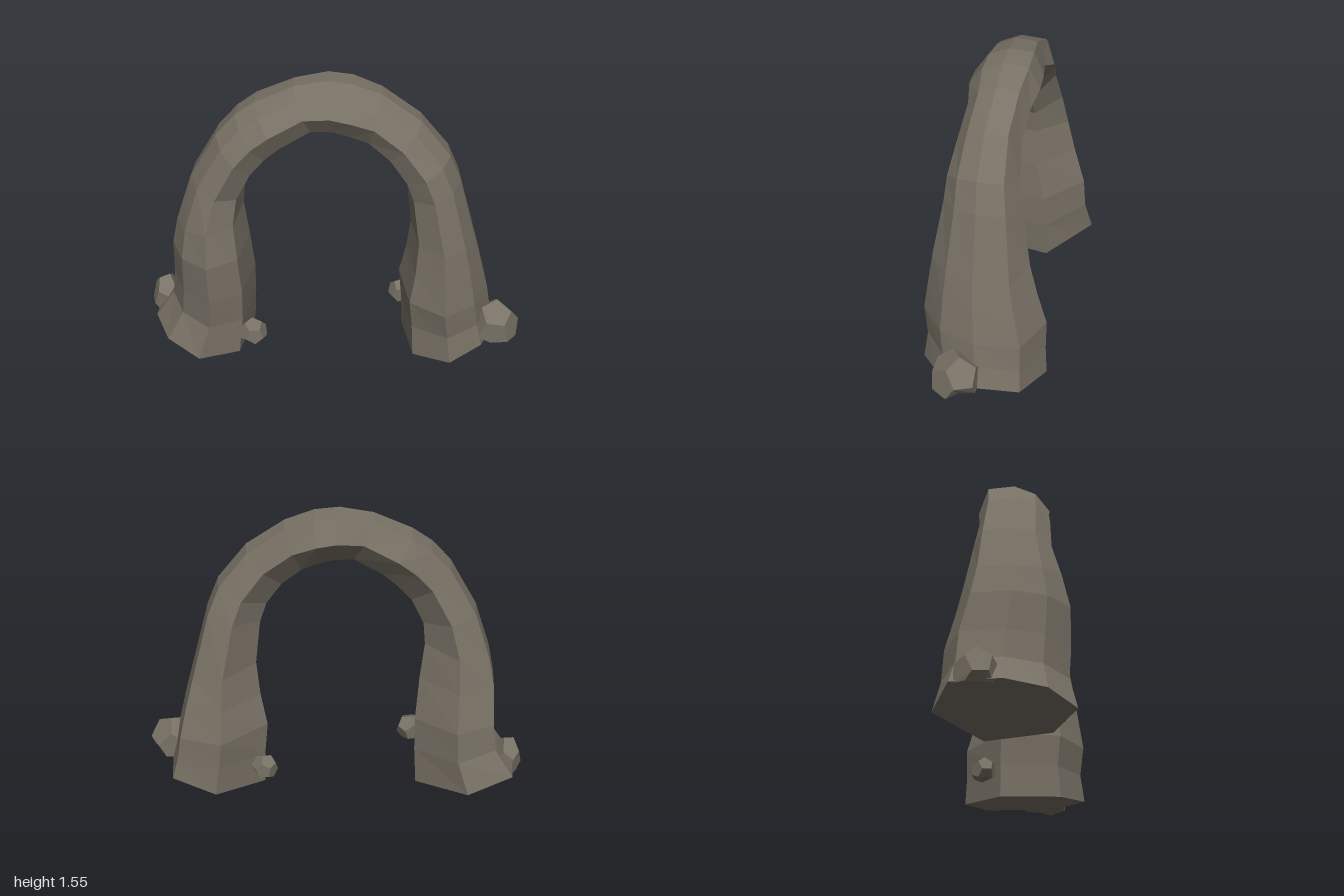
import * as THREE from 'three';

// Uneven seven-sided cross-section: [outward, front/back], each from -1 to 1
const PROFILE = [
  [1, 0.03], [0.68, 0.62], [0, 1], [-0.77, 0.63],
  [-1, -0.35], [0, -1], [0.93, -0.7],
];
const SIDES = PROFILE.length;

// Stations along the arch: outer x, y, inner x, y, front z, back z
const STATIONS = [
  [-0.97, 0.10, -0.44, 0.00, 0.34, -0.345],
  [-0.87, 0.25, -0.43, 0.20, 0.30, -0.31],
  [-0.855, 0.40, -0.43, 0.38, 0.31, -0.30],
  [-0.85, 0.60, -0.45, 0.60, 0.31, -0.24],
  [-0.82, 0.75, -0.475, 0.80, 0.27, -0.20],
  [-0.74, 1.00, -0.465, 0.92, 0.22, -0.17],
  [-0.60, 1.25, -0.40, 1.05, 0.21, -0.15],
  [-0.50, 1.36, -0.33, 1.13, 0.20, -0.16],
  [-0.40, 1.43, -0.25, 1.20, 0.20, -0.17],
  [-0.20, 1.52, -0.10, 1.285, 0.165, -0.15],
  [-0.03, 1.55, 0.00, 1.285, 0.18, -0.17],
  [0.10, 1.535, 0.08, 1.265, 0.19, -0.17],
  [0.25, 1.48, 0.17, 1.225, 0.17, -0.145],
  [0.45, 1.34, 0.27, 1.14, 0.19, -0.13],
  [0.60, 1.15, 0.35, 1.03, 0.22, -0.145],
  [0.66, 1.00, 0.385, 0.93, 0.23, -0.17],
  [0.75, 0.65, 0.41, 0.70, 0.28, -0.22],
  [0.79, 0.50, 0.39, 0.52, 0.305, -0.26],
  [0.83, 0.33, 0.355, 0.35, 0.33, -0.31],
  [0.85, 0.20, 0.37, 0.18, 0.31, -0.31],
  [0.88, 0.09, 0.375, 0.00, 0.33, -0.32],
];

// Rings lofted along the stations, closed at both feet
function archGeometry() {
  const positions = [];
  const index = [];
  for (const [ox, oy, ix, iy, zf, zb] of STATIONS) {
    for (const [c, s] of PROFILE) {
      positions.push(
        (ox + ix + (ox - ix) * c) / 2,
        (oy + iy + (oy - iy) * c) / 2,
        (zf + zb + (zf - zb) * s) / 2,
      );
    }
  }
  const last = (STATIONS.length - 1) * SIDES;
  for (let r = 0; r < last; r += SIDES) {
    for (let i = 0; i < SIDES; i++) {
      const a = r + i;
      const b = r + ((i + 1) % SIDES);
      index.push(a, b, a + SIDES, b, b + SIDES, a + SIDES);
    }
  }
  for (let i = 1; i < SIDES - 1; i++) {
    index.push(0, i + 1, i, last, last + i, last + i + 1);
  }
  const indexed = new THREE.BufferGeometry();
  indexed.setAttribute('position', new THREE.Float32BufferAttribute(positions, 3));
  indexed.setIndex(index);
  const geometry = indexed.toNonIndexed();
  geometry.computeVertexNormals();
  return geometry;
}

// Faceted boulder with its underside flattened
function boulderGeometry([x, y, z], [sx, sy, sz], turn) {
  const geometry = new THREE.DodecahedronGeometry(1, 0);
  geometry.rotateY(turn).rotateZ(turn * 0.4);
  geometry.scale(sx, sy, sz).translate(x, y, z);
  const p = geometry.attributes.position;
  for (let i = 0; i < p.count; i++) p.setY(i, Math.max(p.getY(i), 0.09));
  geometry.computeVertexNormals();
  return geometry;
}

export function createModel() {
  const stone = new THREE.MeshStandardMaterial({ color: 0x787165 });
  stone.name = 'stone';
  const model = new THREE.Group();
  model.name = 'rockArch';

  const add = (name, geometry) => {
    const mesh = new THREE.Mesh(geometry, stone);
    mesh.name = name;
    model.add(mesh);
  };

  add('arch', archGeometry());

  // Boulders around the feet
  add('leftOuterBoulder', boulderGeometry([0.868, 0.14, 0.1], [0.138, 0.148, 0.135], 0.5));
  add('rightOuterBoulder', boulderGeometry([-0.925, 0.145, -0.12], [0.08, 0.135, 0.11], 0.3));
  add('rightInnerBoulder', boulderGeometry([-0.425, 0.145, 0.21], [0.078, 0.078, 0.075], 0.8));
  add('leftInnerBoulder', boulderGeometry([0.37, 0.145, -0.2], [0.07, 0.073, 0.068], 0.4));

  return model;
}
